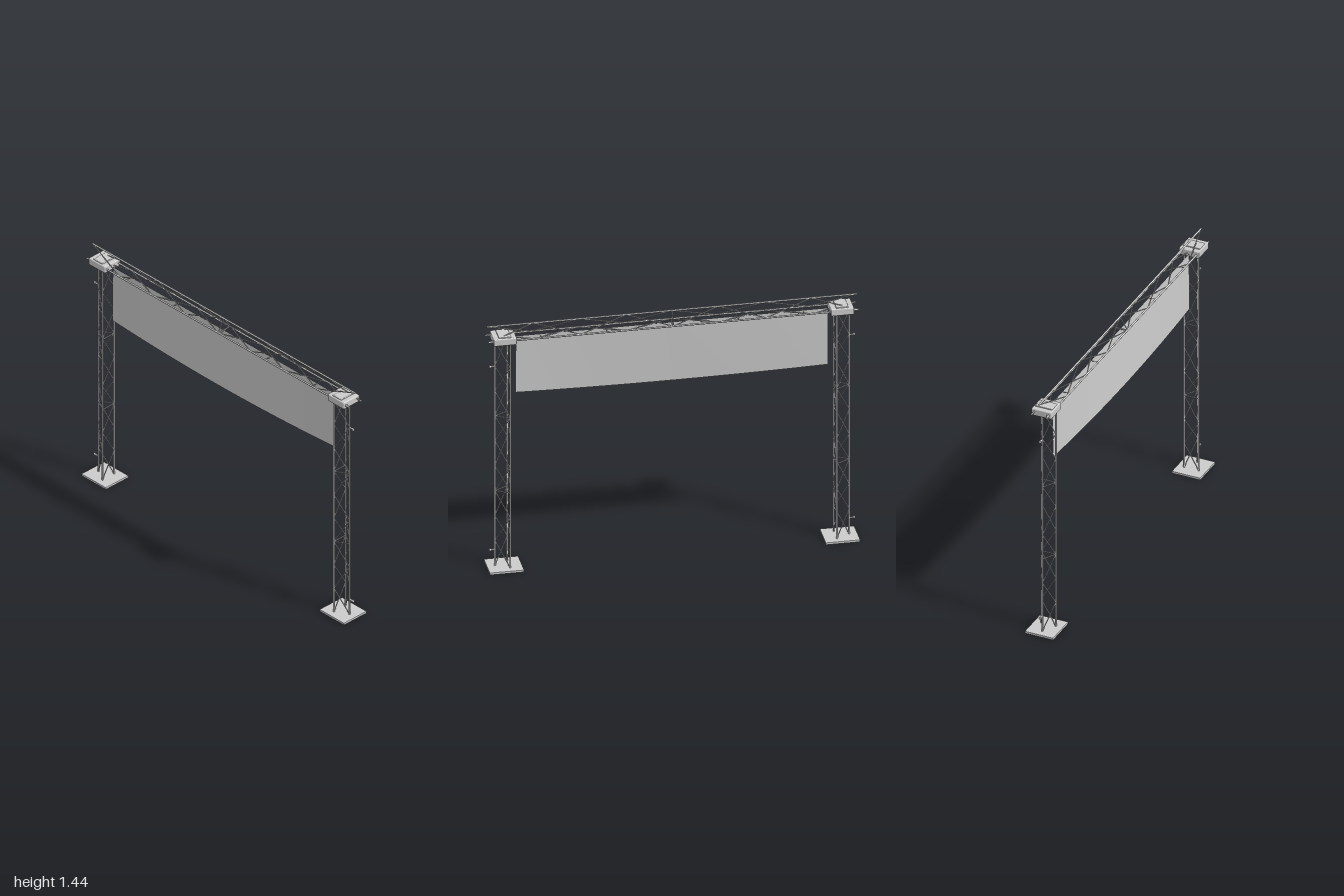
import * as THREE from 'three';
import { RoundedBoxGeometry } from 'three/addons/geometries/RoundedBoxGeometry.js';

const material = new THREE.MeshStandardMaterial({ color: 0xcccccc });
const sheetMaterial = new THREE.MeshStandardMaterial({ color: 0xcccccc, side: THREE.DoubleSide });
const V = (x, y, z) => new THREE.Vector3(x, y, z);

function add(parent, name, geometry, x = 0, y = 0, z = 0) {
  const mesh = new THREE.Mesh(geometry, material);
  mesh.name = name;
  mesh.position.set(x, y, z);
  parent.add(mesh);
  return mesh;
}

// Round bar between two points
function bar(parent, name, a, b, radius, sides = 8) {
  const dir = b.clone().sub(a);
  const mesh = add(parent, name, new THREE.CylinderGeometry(radius, radius, dir.length(), sides));
  mesh.position.copy(a).add(b).multiplyScalar(0.5);
  mesh.quaternion.setFromUnitVectors(V(0, 1, 0), dir.normalize());
}

// Triangular truss: three chords, zigzag braces on each face, rungs between sections.
// chords[i](t) gives a point on chord i for t = 0..1; chord 0 is the apex.
function truss(name, chords, sections, waves) {
  const group = new THREE.Group();
  group.name = name;
  chords.forEach((c) => bar(group, 'chord', c(0), c(1), 0.005, 12));
  const total = sections * waves;
  const faces = [[0, 1], [2, 0], [1, 2]];
  for (const [a, b] of faces) {
    for (let i = 0; i < total; i++) {
      const from = i % 2 ? b : a;
      const to = i % 2 ? a : b;
      bar(group, 'brace', chords[from](i / total), chords[to]((i + 1) / total), 0.003);
    }
    for (let s = 1; s < sections; s++) {
      bar(group, 'rung', chords[a](s / sections), chords[b](s / sections), 0.003);
    }
  }
  return group;
}

function createTower(side) {
  const tower = new THREE.Group();
  tower.name = side > 0 ? 'leftTower' : 'rightTower';

  // Upright truss with its apex facing outward
  const chord = (x, z) => (t) => V(side * x, 0.012 + t * 1.335, z);
  tower.add(truss('upright', [chord(0.957, 0), chord(0.882, 0.043), chord(0.882, -0.043)], 3, 3));

  // Ground plate
  add(tower, 'basePlate', new THREE.BoxGeometry(0.185, 0.012, 0.166), side * 0.9075, 0.006, 0);

  // Corner block joining upright and beam
  add(tower, 'cornerBlock', new RoundedBoxGeometry(0.125, 0.042, 0.118, 2, 0.006), side * 0.911, 1.364, 0);
  add(tower, 'cornerCap', new RoundedBoxGeometry(0.068, 0.012, 0.1, 2, 0.004), side * 0.911, 1.384, 0);

  // Outer cable hooks
  for (const y of [0.107, 1.197]) {
    bar(tower, 'hookStem', V(side * 0.957, y, 0), V(side * 0.985, y, 0), 0.005);
    bar(tower, 'hookHead', V(side * 0.978, y, 0), V(side * 0.988, y, 0), 0.008, 12);
  }
  return tower;
}

// Hanging sheet, bowed forward and sagging toward the middle of its lower edge
function createBanner() {
  const geometry = new THREE.PlaneGeometry(1.686, 1, 32, 8);
  const p = geometry.attributes.position;
  for (let i = 0; i < p.count; i++) {
    const x = p.getX(i);
    const down = 0.5 - p.getY(i);
    const belly = 1 - (x / 0.843) ** 2;
    p.setY(i, 1.365 - down * (0.338 + 0.017 * belly));
    p.setZ(i, 0.004 + down * (0.004 + 0.012 * belly));
  }
  geometry.computeVertexNormals();
  const banner = new THREE.Mesh(geometry, sheetMaterial);
  banner.name = 'banner';
  return banner;
}

export function createModel() {
  const model = new THREE.Group();
  model.name = 'trussGate';

  for (const side of [-1, 1]) model.add(createTower(side));

  // Cross beam with its apex on top
  const chord = (y, z) => (t) => V(-1 + 2 * t, y, z);
  model.add(truss('crossBeam', [chord(1.435, 0), chord(1.364, 0.044), chord(1.364, -0.044)], 2, 4));

  model.add(createBanner());

  // Ties holding the sheet under the beam
  for (const x of [-0.71, -0.355, 0, 0.355, 0.71]) {
    for (const z of [-0.044, 0.044]) {
      bar(model, 'bannerTie', V(x, 1.363, z), V(x, 1.356, 0.004), 0.002, 6);
    }
  }
  return model;
}
